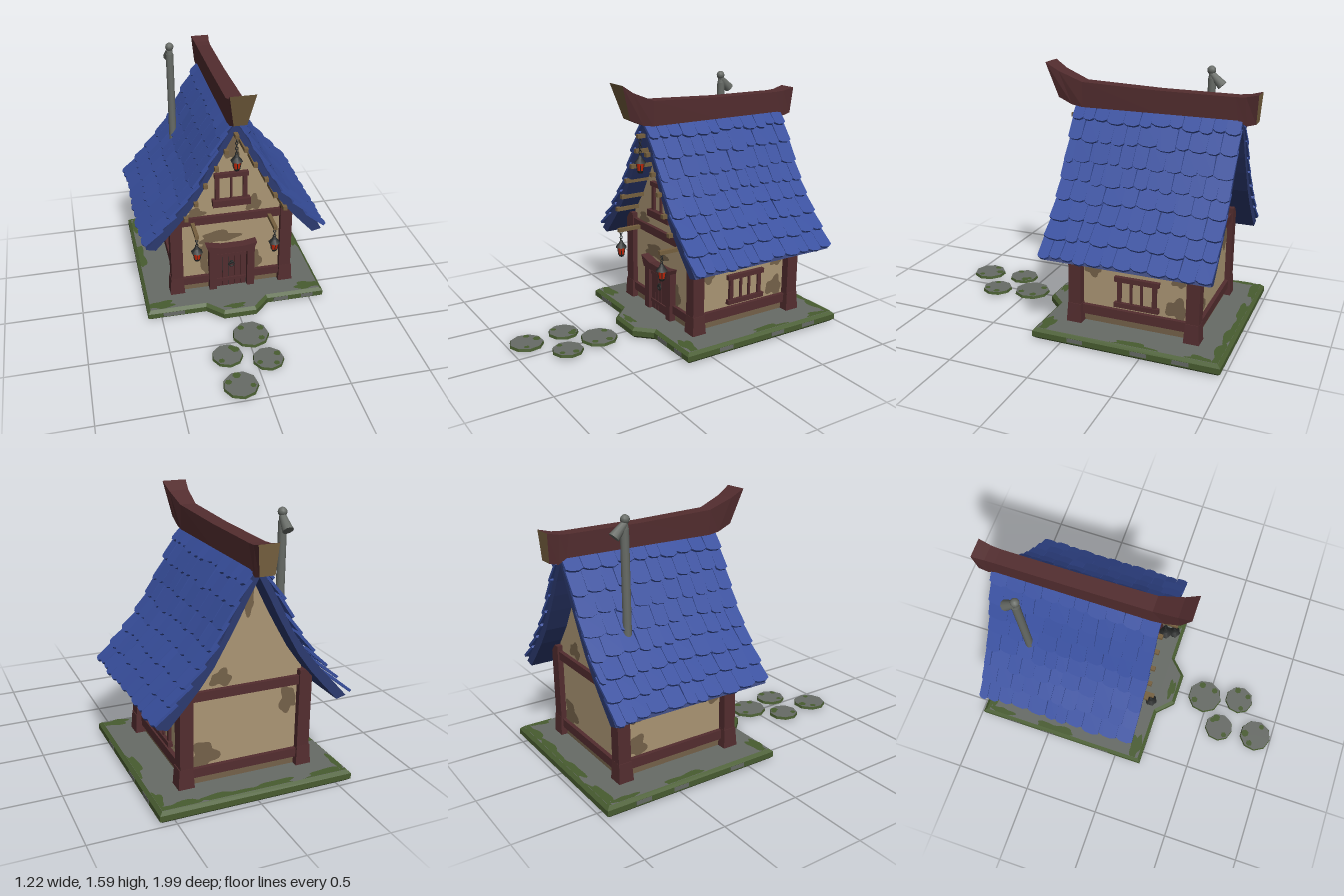
import * as THREE from 'three';
import { mergeGeometries } from 'three/addons/utils/BufferGeometryUtils.js';

const paint = (name, color) => Object.assign(new THREE.MeshStandardMaterial({ color }), { name });
const V2 = ([x, y]) => new THREE.Vector2(x, y);

export function createModel() {
  const plaster = paint('plaster', 0xab9674), stain = paint('stained plaster', 0x75624a);
  const timber = paint('red timber', 0x532d2f), pine = paint('pale timber', 0x76603f);
  const blue = paint('blue tile', 0x384f9e), navy = paint('roof board', 0x2c3a70);
  const stone = paint('stone', 0x676b66), moss = paint('moss', 0x485c30);
  const iron = paint('iron', 0x282a2a), flame = paint('lantern glow', 0xd02c0c);
  const house = new THREE.Group();
  house.name = 'cottage';

  let seed = 7;
  const rand = (a, b) => {
    seed = (seed * 16807) % 2147483647;
    return a + (b - a) * seed / 2147483647;
  };
  const add = (name, geo, mat, x = 0, y = 0, z = 0, parent = house) => {
    const m = new THREE.Mesh(geo, mat);
    m.name = name;
    m.position.set(x, y, z);
    parent.add(m);
    return m;
  };
  const box = (name, mat, x0, x1, y0, y1, z0, z1) =>
    add(name, new THREE.BoxGeometry(x1 - x0, y1 - y0, z1 - z0), mat, (x0 + x1) / 2, (y0 + y1) / 2, (z0 + z1) / 2);
  const extrude = (pts, depth, opts = {}) =>
    new THREE.ExtrudeGeometry(new THREE.Shape(pts.map(V2)), { depth, bevelEnabled: false, ...opts });
  const facet = geo => {
    const g = geo.toNonIndexed();
    g.computeVertexNormals();
    return g;
  };
  // thin wobbly patch, cut off at x0..x1 and y0..y1
  const blob = (name, mat, cx, cy, rx, ry, x0, x1, y0, y1) => {
    const p = rand(0, 6), q = rand(0, 6), pts = [];
    for (let i = 0; i < 32; i++) {
      const a = i * Math.PI / 16, r = .8 + .15 * Math.sin(3 * a + p) + .12 * Math.sin(5 * a + q);
      pts.push(new THREE.Vector2(THREE.MathUtils.clamp(cx + rx * r * Math.cos(a), x0, x1), THREE.MathUtils.clamp(cy + ry * r * Math.sin(a), y0, y1)));
    }
    return add(name, new THREE.ShapeGeometry(new THREE.Shape(pts)), mat);
  };

  // Ground slab with mossy rim and a front doorstep
  const slab = extrude([[-.57, -.16], [-.2, -.16], [-.1, -.26], [.1, -.26], [.2, -.16], [.57, -.16], [.57, .96], [-.57, .96]],
    .034, { bevelEnabled: true, bevelSize: .02, bevelThickness: .018, bevelSegments: 1 });
  add('groundSlab', slab, [stone, moss], 0, .028).rotation.x = -Math.PI / 2;
  const growMoss = (x, z, rx, rz) => {
    const m = blob('slabMoss', moss, x, -z, rx, rz, -.57, .57, -.26, .96);
    m.rotation.x = -Math.PI / 2;
    m.position.y = .082;
  };
  for (const x of [-.45, -.1, .2, .47]) growMoss(x, -.95, .18, .05);
  for (const s of [-1, 1]) {
    growMoss(s * .5, .12, .12, .045);
    growMoss(s * .56, -.45, .045, .16);
    growMoss(s * .56, -.85, .04, .1);
  }
  growMoss(-.02, .23, .08, .03);
  // bare stone showing on the slab edge
  for (const [x, w] of [[-.42, .14], [.3, .1], [.48, .08]]) box('bareEdge', stone, x - w / 2, x + w / 2, .032, .06, .176, .182);
  for (const z of [-.1, -.5, -.75]) for (const s of [-1, 1]) box('bareEdge', stone, s * .59 - .002, s * .59 + .002, .035, .06, z - .05, z + .05);

  // Stepping stones
  for (const [x, z, r] of [[.02, .47, .118], [-.165, .63, .097], [.072, .71, .098], [-.142, .89, .108]]) {
    add('steppingStone', facet(new THREE.CylinderGeometry(r * .96, r, .018, 9)), [moss, stone, stone], x, .031, z);
    for (let i = 0; i < 3; i++) {
      const a = rand(0, 6.28);
      add('stoneMoss', new THREE.CircleGeometry(rand(.015, .028), 6), moss, x + Math.cos(a) * r * .68, .0415, z + Math.sin(a) * r * .68).rotation.x = -Math.PI / 2;
    }
  }

  // Roof curves: outside and underside, from ridge to eave
  const outer = [[0, 1.35], [.07, 1.24], [.14, 1.11], [.21, .97], [.29, .85], [.38, .74], [.48, .63], [.57, .53]];
  const under = [[0, 1.29], [.06, 1.18], [.11, 1.08], [.17, .97], [.25, .83], [.33, .72], [.42, .615], [.51, .515]];

  // Plastered walls with both gables
  const gable = under.slice(0, 6).map(([x, y]) => [x, y + .01]);
  add('walls', extrude([[-.35, .08], [.35, .08], [.35, .71], ...gable.slice().reverse(), ...gable.slice(1).map(([x, y]) => [-x, y]), [-.35, .71]], .75),
    plaster, 0, 0, -.765);

  // Stains on the plaster, turned to face out from each wall
  const soil = (turn, x, z, cx, cy, rx, ry, x0 = -.32, x1 = .32) => {
    const m = blob('wallStain', stain, cx, cy, rx, ry, x0, x1, .185, 1.27);
    m.rotation.y = turn;
    m.position.set(x, 0, z);
  };
  const front = (...p) => soil(0, 0, -.012, ...p), back = (...p) => soil(Math.PI, 0, -.768, ...p);
  front(-.08, .47, .16, .055);
  front(-.18, .33, .045, .16);
  front(.17, .25, .045, .1);
  front(0, 1.12, .07, .11);
  front(.15, .7, .06, .07);
  front(-.23, .67, .07, .045);
  back(-.25, .25, .1, .1);
  back(.27, .5, .07, .1);
  back(-.15, .7, .08, .06);
  back(0, 1.12, .05, .09);
  for (const s of [-1, 1]) for (const [u, y, rx, ry] of [[.12, .42, .07, .05], [.65, .25, .08, .08], [.66, .43, .05, .05]])
    soil(s * Math.PI / 2, s * .352, 0, s * u, y, rx, ry, s > 0 ? .06 : -.72, s > 0 ? .72 : -.06);
  box('wallFoot', stain, -.353, .353, .08, .14, -.768, -.012);

  // Corner posts with spreading plinths
  for (const sx of [-1, 1]) for (const z of [-.02, -.76]) {
    box('cornerPost', timber, sx * .365 - .039, sx * .365 + .039, .08, .68, z - .04, z + .04);
    add('postPlinth', facet(new THREE.CylinderGeometry(.058, .068, .12, 4, 1).rotateY(Math.PI / 4)), timber, sx * .368, .14, z);
  }
  // Rails on every side
  for (const s of [-1, 1]) {
    box('frontSill', timber, s * .235 - .095, s * .235 + .095, .13, .185, -.03, .008);
    for (const [y0, y1] of [[.13, .19], [.46, .51]]) box('sideRail', timber, s * .36 - .016, s * .36 + .016, y0, y1, -.73, -.05);
  }
  box('frontRail', timber, -.33, .33, .592, .645, -.03, .01);
  box('backSill', timber, -.33, .33, .13, .185, -.79, -.75);
  box('backRail', timber, -.33, .33, .592, .645, -.79, -.75);

  // Door
  box('doorRecess', iron, -.11, .11, .08, .38, -.02, -.004);
  for (let i = 0; i < 5; i++) box('doorPlank', timber, -.1 + i * .0405, -.063 + i * .0405, .085, .365, -.01, .008);
  for (const y of [.13, .325]) box('doorBand', timber, -.1, .1, y, y + .022, 0, .016);
  add('doorRing', new THREE.TorusGeometry(.017, .005, 6, 12), iron, 0, .26, .014);
  box('doorBolt', iron, -.01, .01, .262, .285, .005, .018);
  for (const s of [-1, 1]) box('doorJamb', timber, s * .128 - .025, s * .128 + .025, .08, .4, -.02, .03);
  add('doorLintel', extrude([[-.145, .37], [.14, .37], [.165, .43], [.08, .415], [-.07, .415], [-.175, .44]], .065), timber, 0, 0, -.02);

  // Gable window
  box('windowHead', timber, -.11, .11, .922, .95, -.02, .015);
  box('windowLedge', timber, -.123, .123, .72, .765, -.02, .03);
  for (const [x, w] of [[-.09, .014], [0, .007], [.09, .014]]) box('windowBar', timber, x - w, x + w, .76, .93, -.02, .008);
  box('windowPane', plaster, -.085, .085, .765, .925, -.02, -.008);
  // Side window, on the left wall only
  for (const y of [.21, .375]) box('sideWindowRail', timber, .34, .378, y, y + .03, -.545, -.265);
  for (const [z, w] of [[-.295, .026], [-.37, .014], [-.435, .014], [-.515, .026]]) box('sideWindowBar', timber, .34, .37, .23, .39, z - w / 2, z + w / 2);
  box('sideWindowPane', plaster, .34, .356, .24, .375, -.51, -.3);

  // Roof boarding, then rows of overlapping tiles on each slope
  const half = [...outer, ...under.slice().reverse()];
  const slope = new THREE.CatmullRomCurve3(outer.map(([x, y]) => new THREE.Vector3(x, y, 0)));
  const rows = 8;
  for (const side of [0, 1]) {
    const roof = new THREE.Group();
    roof.name = side ? 'rightRoof' : 'leftRoof';
    roof.position.z = -.39;
    roof.rotation.y = side * Math.PI;
    house.add(roof);
    add('roofBoards', extrude(half, 1.02), navy, 0, 0, -.51, roof);
    const tiles = [];
    for (let r = 0; r < rows; r++) {
      const top = slope.getPointAt(Math.max(0, r - .35) / rows), low = slope.getPointAt((r + 1) / rows);
      const t = slope.getTangentAt((r + .6) / rows);
      low.addScaledVector(new THREE.Vector3(-t.y, t.x, 0), .026);
      const up = top.clone().sub(low), len = up.length();
      up.normalize();
      const basis = new THREE.Matrix4().makeBasis(new THREE.Vector3(0, 0, -1), up, new THREE.Vector3(up.y, -up.x, 0));
      for (let z = -.52; z < .5;) {
        let w = rand(.07, .12);
        if (z + w > .48) w = .52 - z;
        const h = w / 2 - .001, dip = rand(-.012, .01);
        const g = extrude([[-h, len], [-h, .014 + dip], [-h * .5, dip], [h * .4, dip - .004], [h, .01 + dip], [h, len]], .016);
        g.rotateX(rand(-.03, .05)).rotateZ(rand(-.025, .025)).applyMatrix4(basis).translate(low.x, low.y, z + w / 2);
        tiles.push(g);
        z += w;
      }
    }
    add('roofTiles', mergeGeometries(tiles), blue, 0, 0, 0, roof);
  }

  // Ridge beam skinned over sections: zTop, zBottom, yTop, yBottom, half widths at top and bottom
  const ridge = [[.31, .24, 1.6, 1.385, .078, .04], [.23, .15, 1.55, 1.345, .064, .042], [.08, .08, 1.49, 1.335, .05, .045],
    [-.4, -.4, 1.472, 1.335, .047, .045], [-.86, -.88, 1.468, 1.335, .047, .045], [-.92, -.93, 1.472, 1.305, .05, .045], [-.995, -.985, 1.49, 1.32, .06, .045]]
    .map(([zt, zb, yt, yb, wt, wb]) => [[-wb, yb, zb], [wb, yb, zb], [wt, yt, zt], [-wt, yt, zt]]);
  const quads = list => {
    const pos = [];
    for (const [a, b, c, d] of list) pos.push(...a, ...b, ...c, ...a, ...c, ...d);
    const g = new THREE.BufferGeometry();
    g.setAttribute('position', new THREE.Float32BufferAttribute(pos, 3));
    g.computeVertexNormals();
    return g;
  };
  const faces = [];
  for (let i = 0; i + 1 < ridge.length; i++) for (let k = 0; k < 4; k++) {
    const n = (k + 1) % 4;
    faces.push([ridge[i][n], ridge[i][k], ridge[i + 1][k], ridge[i + 1][n]]);
  }
  add('ridgeBeam', quads(faces), timber);
  add('ridgeEnds', quads([ridge[0], ridge[ridge.length - 1].slice().reverse()]), pine);

  // Purlin pegs along both gable edges at the front
  for (const s of [-1, 1]) for (const [x, y] of [[.06, 1.17], [.12, 1.06], [.19, .95], [.25, .83], [.315, .73]])
    box('purlinPeg', pine, s * x - .013, s * x + .013, y - .013, y + .013, -.03, .15);

  // Hanging lanterns on brackets
  const lantern = (x, y, hook) => {
    const g = new THREE.Group();
    g.name = 'lantern';
    g.position.set(x, y, .15);
    house.add(g);
    add('glow', new THREE.CylinderGeometry(.028, .019, .055, 6), flame, 0, .04, 0, g);
    add('foot', new THREE.CylinderGeometry(.023, .014, .016, 6), iron, 0, .008, 0, g);
    add('hood', new THREE.CylinderGeometry(.014, .04, .03, 6), iron, 0, .08, 0, g);
    add('crown', new THREE.CylinderGeometry(.008, .017, .018, 6), iron, 0, .102, 0, g);
    for (let i = 0; i < 6; i++) {
      const a = i * Math.PI / 3;
      const bar = new THREE.CylinderGeometry(.003, .003, .056, 4).rotateX(.16).rotateY(a);
      add('cageBar', bar, iron, Math.sin(a) * .0245, .04, Math.cos(a) * .0245, g);
    }
    for (let h = .115, i = 0; h < hook - y; h += .017, i++)
      add('chainLink', new THREE.TorusGeometry(.009, .003, 4, 8), iron, 0, h, 0, g).rotation.y = (i % 2) * Math.PI / 2;
    box('lanternBracket', pine, x - .012, x + .012, hook - .012, hook + .012, -.03, .17);
  };
  lantern(0, 1.045, 1.275);
  lantern(-.255, .422, .605);
  lantern(.25, .422, .605);

  // Stove pipe with a tilted hood and knob
  add('stovePipe', new THREE.CylinderGeometry(.025, .025, .62, 10), stone, -.265, 1.2, -.64);
  add('pipeHood', new THREE.CylinderGeometry(.02, .033, .1, 10), stone, -.265, 1.505, -.67).rotation.x = Math.PI / 4;
  add('pipeNeck', new THREE.CylinderGeometry(.016, .022, .05, 10), stone, -.265, 1.53, -.638);
  add('pipeKnob', new THREE.SphereGeometry(.027, 10, 8), stone, -.265, 1.56, -.635);
  return house;
}
